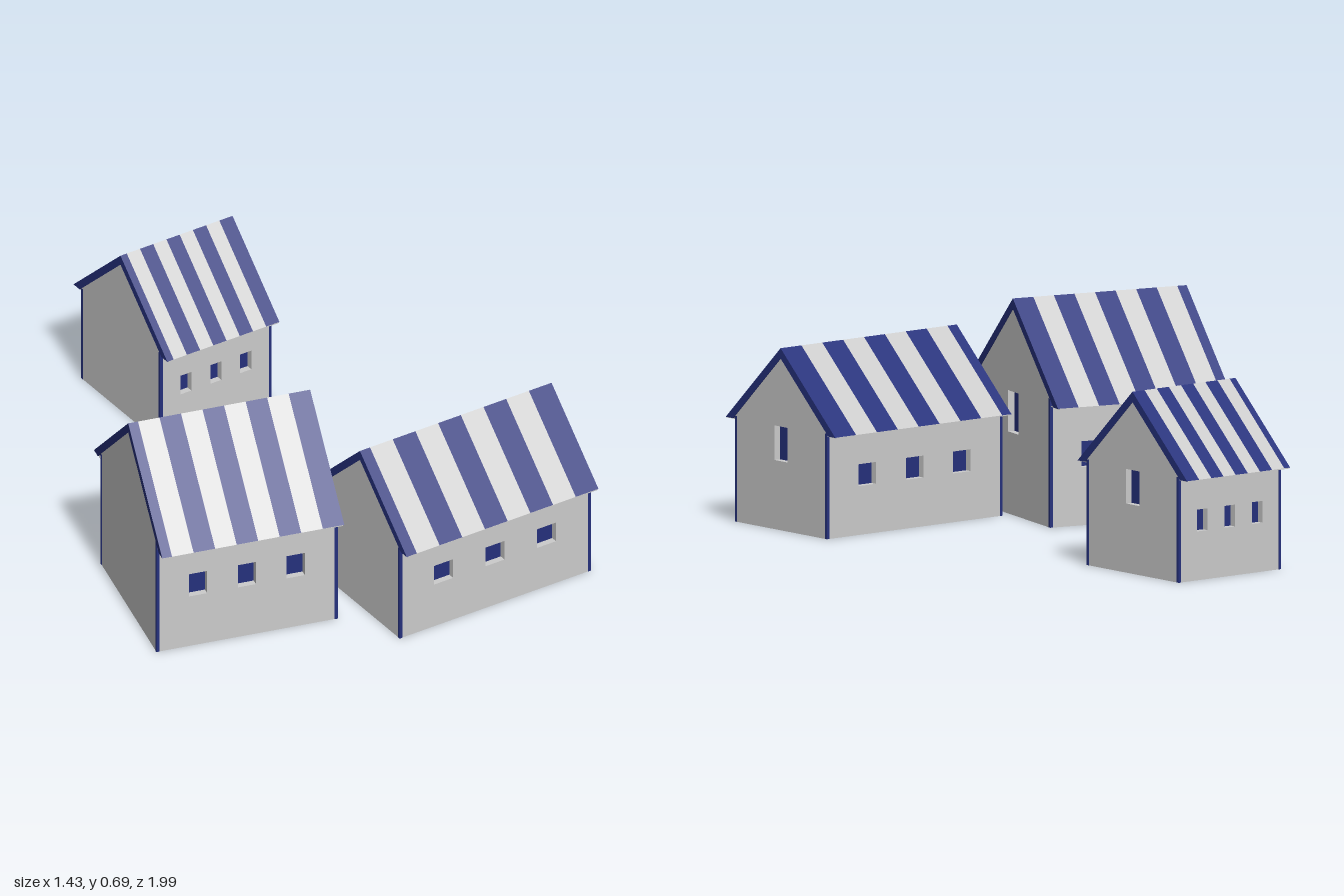
import * as THREE from 'three';

const grey = new THREE.MeshStandardMaterial({ color: 0xcccccc, flatShading: true });
const blue = new THREE.MeshStandardMaterial({ color: 0x25307c, flatShading: true });
const WALL = 0.03;   // wall thickness
const RECESS = 0.022; // depth of the window panes
const EDGE = 0.033;  // vertical thickness of the roof

function add(parent, name, geometry, material, x = 0, y = 0, z = 0) {
  const mesh = new THREE.Mesh(geometry, material);
  mesh.name = name;
  mesh.position.set(x, y, z);
  parent.add(mesh);
  return mesh;
}

const outline = (points) => points.map(([x, y]) => new THREE.Vector2(x, y));

// Wall panel with its outer face on z = 0, and a recessed pane in each opening
function wallPanel(name, points, windows) {
  const group = new THREE.Group();
  group.name = name;
  const shape = new THREE.Shape(outline(points));
  for (const { x, y, w, h } of windows) {
    const a = w / 2, b = h / 2;
    shape.holes.push(new THREE.Path(outline([[x - a, y - b], [x - a, y + b], [x + a, y + b], [x + a, y - b]])));
    add(group, 'windowPane', new THREE.BoxGeometry(w, h, 0.006), blue, x, y, -RECESS - 0.003);
  }
  const geometry = new THREE.ExtrudeGeometry(shape, { depth: WALL, bevelEnabled: false });
  add(group, 'wall', geometry, grey, 0, 0, -WALL);
  return group;
}

function house({ name, x, z, turn, length, depth, roofDepth, ridge, eave }) {
  const group = new THREE.Group();
  group.name = name;
  group.position.set(x, 0, z);
  group.rotation.y = -turn;
  const halfL = length / 2, halfD = depth / 2, halfR = roofDepth / 2;
  const slope = (ridge - eave) / halfR;
  const peak = ridge - EDGE;
  const wallTop = peak - slope * halfD;

  // Long walls with three windows each
  const sideWindows = [-1, 0, 1].map((i) => ({
    x: i * 0.27 * length, y: 0.328 * ridge, w: 0.1 * length, h: 0.12 * ridge,
  }));
  const rect = [[-halfL, 0], [halfL, 0], [halfL, wallTop], [-halfL, wallTop]];
  for (const s of [1, -1]) {
    const wall = wallPanel(s > 0 ? 'frontWall' : 'backWall', rect, sideWindows);
    wall.position.z = s * halfD;
    wall.rotation.y = s > 0 ? 0 : Math.PI;
    group.add(wall);
  }

  // Gable walls, only one of them with a window
  const gable = [[-halfD, 0], [halfD, 0], [halfD, wallTop], [0, peak], [-halfD, wallTop]];
  const gableWindow = { x: 0, y: 0.474 * ridge, w: 0.145 * depth, h: 0.19 * ridge };
  for (const s of [1, -1]) {
    const wall = wallPanel(s > 0 ? 'windowGable' : 'plainGable', gable, s > 0 ? [gableWindow] : []);
    wall.position.x = s * halfL;
    wall.rotation.y = s * Math.PI / 2;
    group.add(wall);
  }
  add(group, 'floor', new THREE.BoxGeometry(length - 0.01, 0.01, depth - 0.01), grey, 0, 0.005, 0);

  // Thin corner trims and level soffits under the eaves
  const trim = new THREE.BoxGeometry(0.01, wallTop, 0.01);
  const overhang = halfR - halfD;
  const soffit = new THREE.BoxGeometry(length - 0.004, 0.003, overhang);
  for (const sz of [1, -1]) {
    for (const sx of [1, -1]) {
      add(group, 'cornerTrim', trim, blue, sx * (halfL - 0.004), wallTop / 2, sz * (halfD - 0.004));
    }
    add(group, 'soffit', soffit, grey, 0, eave - 0.001, sz * (halfD + overhang / 2));
  }

  // Roof: chevron slices in alternating colours, the last one cut short
  const inner = halfR - EDGE / slope;
  const chevron = new THREE.Shape(outline([
    [halfR, eave], [0, ridge], [-halfR, eave], [-inner, eave], [0, peak], [inner, eave],
  ]));
  const stripe = length / 8.4;
  for (let i = 0; i < 9; i++) {
    const right = halfL + 0.002 - i * stripe;
    const left = Math.max(right - stripe, -halfL - 0.002);
    const slice = new THREE.ExtrudeGeometry(chevron, { depth: right - left, bevelEnabled: false });
    const mesh = add(group, 'roofStripe', slice, i % 2 ? grey : blue, left);
    mesh.rotation.y = Math.PI / 2;
  }
  return group;
}

export function createModel() {
  const model = new THREE.Group();
  model.name = 'houses';
  model.add(
    house({ name: 'tallHouse', x: -0.305, z: 0.235, turn: 0.43, length: 0.6, depth: 0.54, roofDepth: 0.665, ridge: 0.69, eave: 0.387 }),
    house({ name: 'longHouse', x: 0.31, z: 0.666, turn: 0.178, length: 0.716, depth: 0.45, roofDepth: 0.538, ridge: 0.58, eave: 0.328 }),
    house({ name: 'shortHouse', x: 0.395, z: -0.698, turn: 0.178, length: 0.417, depth: 0.45, roofDepth: 0.538, ridge: 0.58, eave: 0.328 }),
  );
  return model;
}
